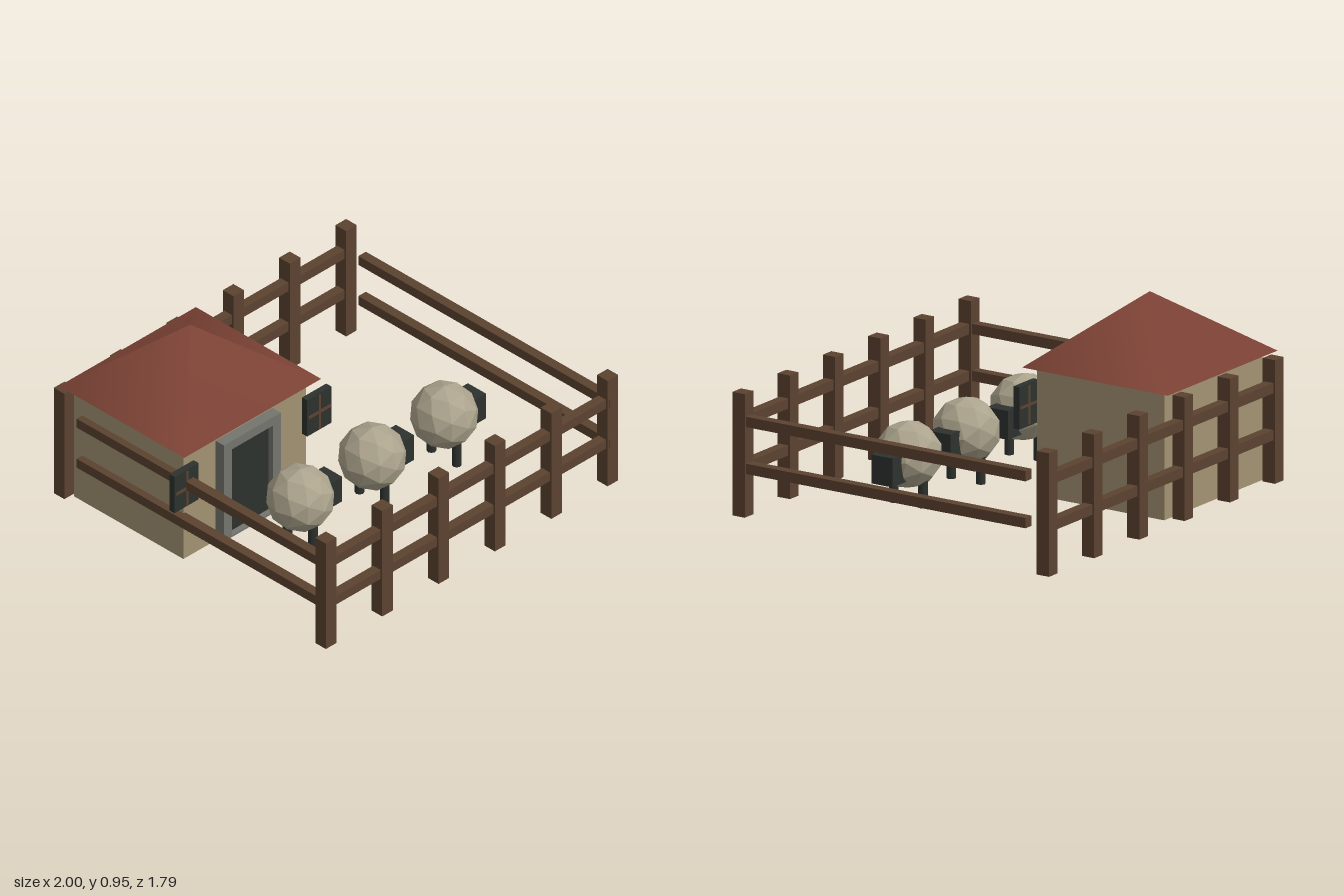
import * as THREE from 'three';

const paint = (color, flatShading = false) => new THREE.MeshStandardMaterial({ color, flatShading });

export function createModel() {
  const model = new THREE.Group();
  model.name = 'sheepFarm';
  const wood = paint(0x5c4230), wall = paint(0xa39372), roofRed = paint(0x7c4235);
  const stone = paint(0x74756e), dark = paint(0x2d322e), wool = paint(0xaba38c, true);

  const add = (parent, name, geometry, material, x, y, z) => {
    const mesh = new THREE.Mesh(geometry, material);
    mesh.name = name;
    mesh.position.set(x, y, z);
    parent.add(mesh);
    return mesh;
  };
  const box = (parent, name, material, w, h, d, x, y, z) =>
    add(parent, name, new THREE.BoxGeometry(w, h, d), material, x, y, z);
  const group = (name, parent = model) => {
    const g = new THREE.Group();
    g.name = name;
    parent.add(g);
    return g;
  };

  // Fence: post rows at front and back, rails on all four sides
  const fence = group('fence');
  for (const z of [-0.86, 0.86]) {
    for (let i = 0; i < 6; i++) box(fence, 'fencePost', wood, 0.07, 0.6, 0.07, -0.9 + i * 0.372, 0.3, z);
  }
  for (const y of [0.235, 0.463]) {
    for (const z of [-0.86, 0.86]) box(fence, 'longRail', wood, 1.88, 0.05, 0.05, 0.03, y, z);
    for (const x of [-0.9, 0.96]) box(fence, 'sideRail', wood, 0.05, 0.05, 1.652, x, y, 0.071);
  }

  // House: walls and pyramid roof
  const house = group('house');
  house.position.set(-0.482, 0, -0.45);
  box(house, 'walls', wall, 0.81, 0.63, 0.72, 0, 0.315, 0);
  const roof = add(house, 'roof', new THREE.ConeGeometry(Math.SQRT1_2, 0.33, 4).rotateY(Math.PI / 4), roofRed, 0, 0.79, 0);
  roof.scale.set(0.904, 1, 0.824);

  // Door with an open frame around it
  const frame = new THREE.Shape();
  frame.moveTo(-0.188, 0.02).lineTo(0.188, 0.02).lineTo(0.188, 0.568).lineTo(-0.188, 0.568).closePath();
  const opening = new THREE.Path();
  opening.moveTo(-0.136, 0.03).lineTo(-0.136, 0.52).lineTo(0.136, 0.52).lineTo(0.136, 0.03).closePath();
  frame.holes.push(opening);
  add(house, 'doorFrame', new THREE.ExtrudeGeometry(frame, { depth: 0.055, bevelEnabled: false }), stone, -0.005, 0, 0.36);
  box(house, 'door', dark, 0.272, 0.49, 0.03, -0.005, 0.275, 0.37);

  // Windows at the two front corners, each with crossed bars
  for (const side of [-1, 1]) {
    const win = group('window', house);
    win.position.set(side * 0.438, 0.447, 0.397);
    box(win, 'windowPane', dark, 0.16, 0.206, 0.034, 0, 0, 0);
    box(win, 'windowBarUpright', wood, 0.014, 0.19, 0.04, 0, 0, 0.002);
    box(win, 'windowBarCross', wood, 0.145, 0.014, 0.04, 0, 0, 0.002);
  }

  // Three sheep in a row, all facing the same way
  for (const x of [-0.442, 0.033, 0.508]) {
    const sheep = group('sheep');
    sheep.position.set(x, 0, 0.235);
    add(sheep, 'woolBody', new THREE.IcosahedronGeometry(0.163, 1), wool, 0, 0.29, 0);
    box(sheep, 'head', dark, 0.12, 0.14, 0.12, 0.157, 0.26, 0);
    for (const z of [-0.083, 0.083]) {
      add(sheep, 'leg', new THREE.CylinderGeometry(0.023, 0.023, 0.15, 8), dark, 0, 0.12, z);
    }
  }
  return model;
}
